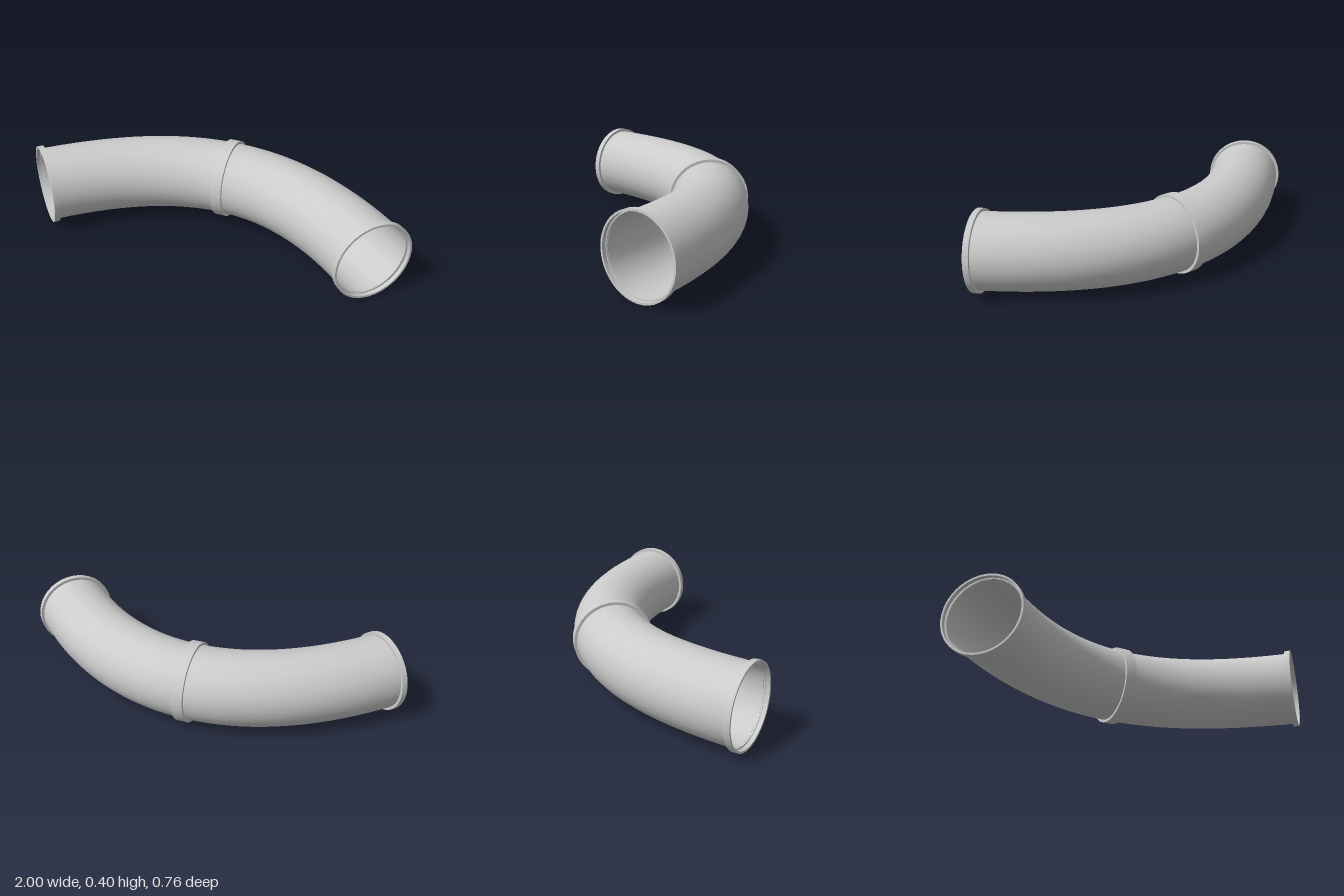
import * as THREE from 'three';
import { toCreasedNormals } from 'three/addons/utils/BufferGeometryUtils.js';

const SIDES = 40;
const PIPE_R = 0.186;
const RING_R = 0.2;
const AXIS_Y = 0.2;

export function createModel() {
  const group = new THREE.Group();
  const material = new THREE.MeshStandardMaterial({ color: 0xcccccc, side: THREE.DoubleSide });

  function add(name, geometry, position = [0, 0, 0]) {
    const mesh = new THREE.Mesh(geometry, material);
    mesh.name = name;
    mesh.position.set(...position);
    group.add(mesh);
    return mesh;
  }

  // Ring revolved from a [radius, height] profile, with its axis turned to a direction
  function addRing(name, profile, position, axis) {
    const points = profile.map(([r, h]) => new THREE.Vector2(r, h));
    const geometry = toCreasedNormals(new THREE.LatheGeometry(points, SIDES), 0.6);
    const ring = add(name, geometry, position);
    ring.quaternion.setFromUnitVectors(new THREE.Vector3(0, 1, 0), axis.normalize());
  }

  // Open, thin-walled bent pipe
  const path = new THREE.QuadraticBezierCurve3(
    new THREE.Vector3(-0.842, AXIS_Y, 0.223),
    new THREE.Vector3(0, AXIS_Y, -0.583),
    new THREE.Vector3(0.842, AXIS_Y, 0.223)
  );
  add('bentPipe', new THREE.TubeGeometry(path, 64, PIPE_R, SIDES, false));

  // Band around the middle of the bend
  const half = 0.028;
  addRing('middleBand',
    [[PIPE_R, -half], [RING_R, -half], [RING_R, half], [PIPE_R, half]],
    [0, AXIS_Y, -0.18], new THREE.Vector3(1, 0, 0));

  // Collars at both mouths, with a small step down to the pipe inside
  const collar = [
    [PIPE_R - 0.001, -0.028], [RING_R, -0.028], [RING_R, 0],
    [0.19, 0], [0.19, -0.02], [PIPE_R - 0.001, -0.02]
  ];
  for (const [name, s] of [['leftCollar', 1], ['rightCollar', -1]]) {
    addRing(name, collar, [s * 0.8586, AXIS_Y, 0.239], new THREE.Vector3(s, 0, 1));
  }

  return group;
}
